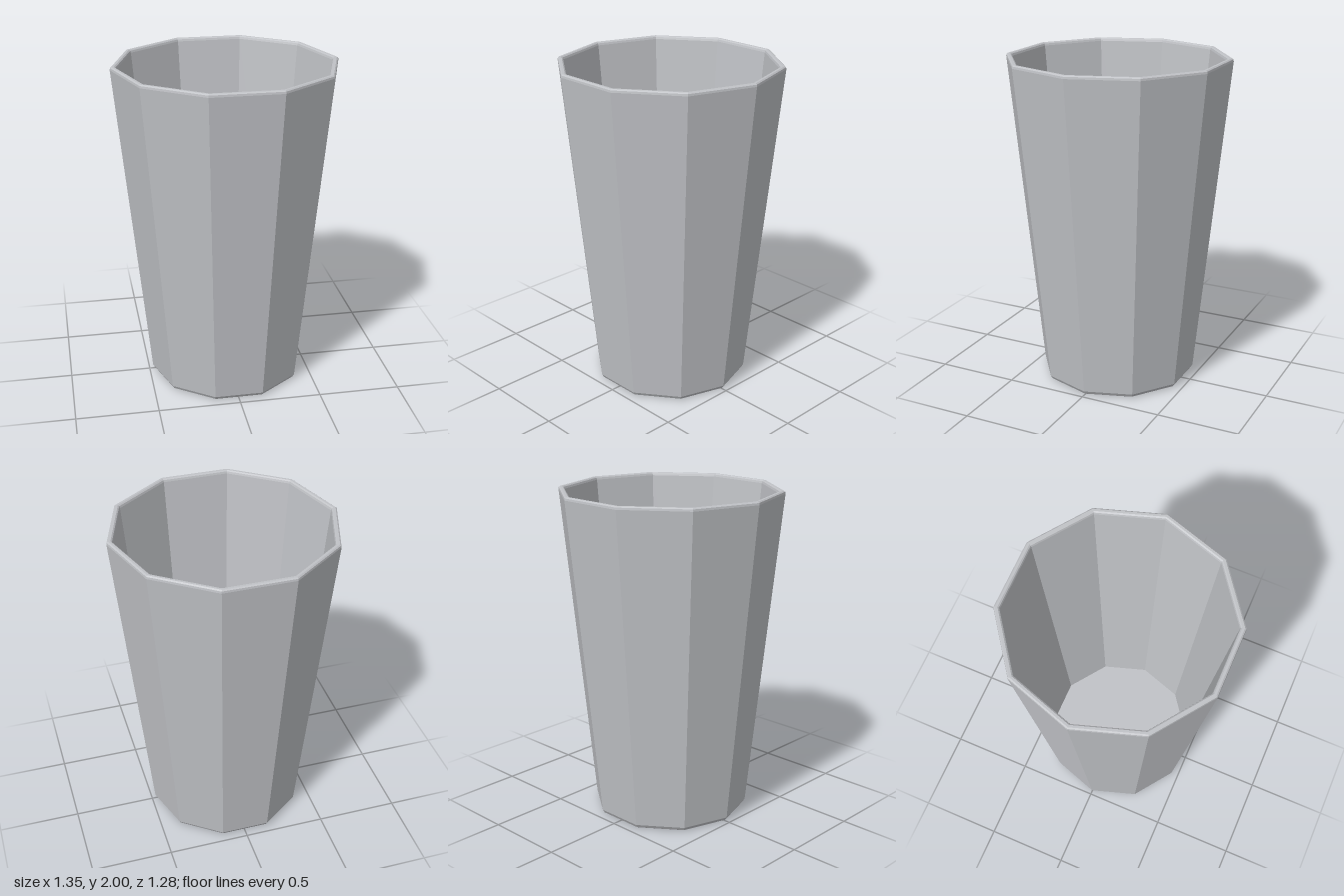
import * as THREE from 'three';

const SIDES = 10;

export function createModel() {
  const model = new THREE.Group();
  model.name = 'tumbler';

  const glass = new THREE.MeshStandardMaterial({ color: 0xc0c2c6, flatShading: true });
  glass.name = 'pale grey';

  // Ten-sided ring swept from [radius, height] points, with corners on the x axis
  function addPart(name, profile) {
    const points = profile.map(([r, y]) => new THREE.Vector2(r, y));
    const mesh = new THREE.Mesh(new THREE.LatheGeometry(points, SIDES, Math.PI / 2), glass);
    mesh.name = name;
    model.add(mesh);
  }

  // Underside with a chamfered foot
  addPart('base', [[0, 0], [0.455, 0], [0.466, 0.006], [0.478, 0.026]]);
  // Tapered outside faces
  addPart('outerWall', [[0.478, 0.026], [0.674, 1.982]]);
  // Softly bevelled lip
  addPart('rim', [[0.674, 1.982], [0.672, 1.994], [0.664, 2], [0.65, 2], [0.642, 1.994], [0.638, 1.982]]);
  // Inside faces, running down to the floor
  addPart('innerWall', [[0.638, 1.982], [0.455, 0.1]]);
  addPart('innerFloor', [[0.455, 0.1], [0, 0.1]]);

  return model;
}
